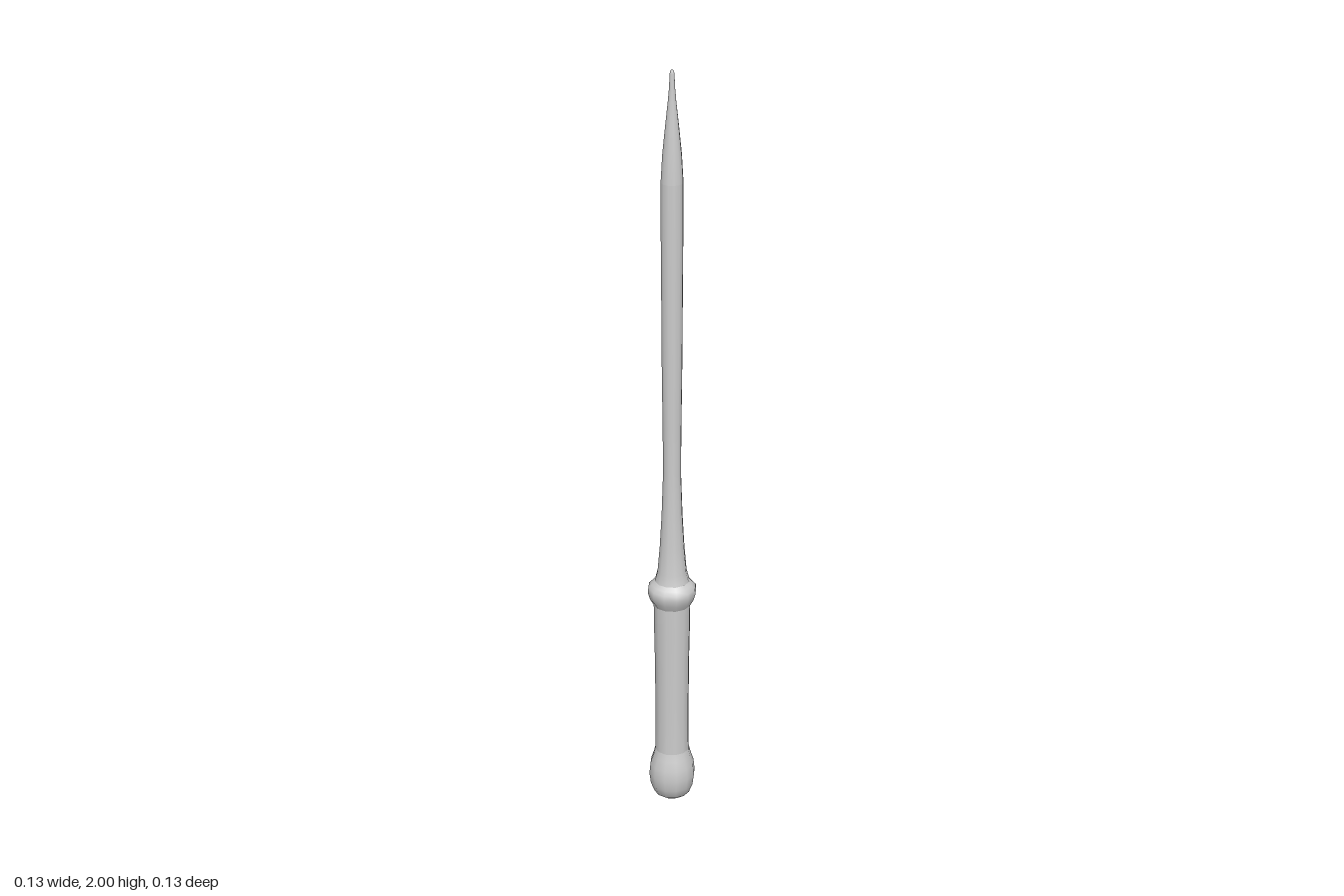
import * as THREE from 'three';

const SIDES = 12;

// Turned part from [radius, height] pairs, bottom to top
function turned(name, profile, material) {
  const points = profile.map(([r, y]) => new THREE.Vector2(r, y));
  const mesh = new THREE.Mesh(new THREE.LatheGeometry(points, SIDES), material);
  mesh.name = name;
  return mesh;
}

export function createModel() {
  const model = new THREE.Group();
  model.name = 'taperedRod';
  const grey = new THREE.MeshStandardMaterial({ color: 0xcccccc });

  // Rounded knob closing the bottom of the handle
  model.add(turned('pommel', [
    [0, 0], [0.032, 0.003], [0.047, 0.014], [0.057, 0.04], [0.061, 0.07],
    [0.058, 0.1], [0.05, 0.125], [0.045, 0.145],
  ], grey));

  // Long handle, slightly wider towards the collar
  model.add(turned('grip', [
    [0.045, 0.145], [0.044, 0.25], [0.045, 0.4], [0.047, 0.5], [0.048, 0.575],
  ], grey));

  // Collar between handle and shaft
  model.add(turned('collar', [
    [0.048, 0.575], [0.058, 0.593], [0.063, 0.61], [0.062, 0.625],
    [0.053, 0.634], [0.045, 0.643],
  ], grey));

  // Flared shaft that swells gently
  model.add(turned('shaft', [
    [0.045, 0.643], [0.038, 0.67], [0.032, 0.74], [0.027, 0.83], [0.023, 0.95],
    [0.024, 1.08], [0.026, 1.25], [0.027, 1.45], [0.028, 1.6], [0.028, 1.72],
  ], grey));

  // Narrowing tip with a small blunt end
  model.add(turned('tip', [
    [0.028, 1.72], [0.024, 1.79], [0.017, 1.86], [0.01, 1.925], [0.007, 1.96],
    [0.006, 1.99], [0.004, 1.998], [0, 2],
  ], grey));

  return model;
}
